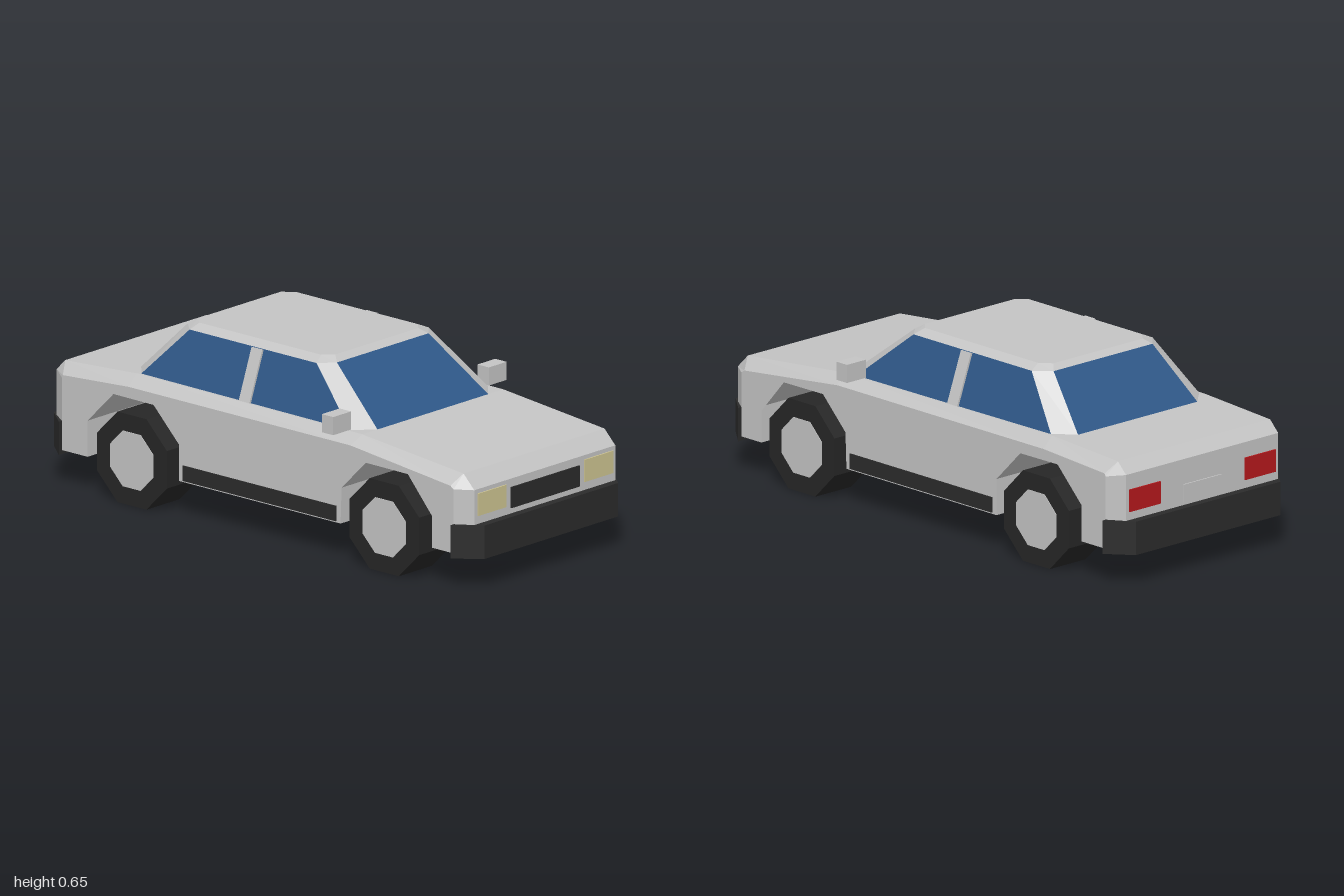
import * as THREE from 'three';

const paint = (name, color) => {
  const m = new THREE.MeshStandardMaterial({ color });
  m.name = name;
  return m;
};

export function createModel() {
  const silver = paint('silver', 0xc4c4c4);
  const glass = paint('blue glass', 0x2e5787);
  const trim = paint('dark trim', 0x2b2b2b);
  const rubber = paint('tyre rubber', 0x262626);
  const lamp = paint('headlight cream', 0xcdc491);
  const red = paint('tail light red', 0xb5181c);

  const car = new THREE.Group();
  car.name = 'car';
  const add = (name, geometry, material, x = 0, y = 0, z = 0) => {
    const mesh = new THREE.Mesh(geometry, material);
    mesh.name = name;
    mesh.position.set(x, y, z);
    car.add(mesh);
    return mesh;
  };
  // Box given by its limits on each axis
  const block = (name, material, x0, x1, y0, y1, z0, z1) =>
    add(name, new THREE.BoxGeometry(x1 - x0, y1 - y0, z1 - z0), material,
      (x0 + x1) / 2, (y0 + y1) / 2, (z0 + z1) / 2);

  // Body: side outline, with x, y of the bevelled outer edge where it differs
  const outline = [
    [-0.97, 0.13, -0.91, 0.13], [-0.97, 0.4, -0.91, 0.39], [-0.93, 0.44, -0.905, 0.4],
    [-0.6, 0.46, -0.6, 0.42], [0.45, 0.455, 0.43, 0.42],
    [0.92, 0.41, 0.895, 0.37], [0.97, 0.36, 0.91, 0.36], [0.97, 0.13, 0.91, 0.13],
    [0.81, 0.13], [0.81, 0.26], [0.69, 0.38], [0.51, 0.38], [0.39, 0.26], [0.385, 0.13],
    [-0.365, 0.13], [-0.365, 0.26], [-0.485, 0.38], [-0.67, 0.38], [-0.79, 0.26], [-0.79, 0.13],
  ];
  const shape = new THREE.Shape(outline.map(([x, y]) => new THREE.Vector2(x, y)));
  const body = new THREE.ExtrudeGeometry(shape, { depth: 3, steps: 3, bevelEnabled: false });
  const key = (x, y) => `${Math.round(x * 1000)},${Math.round(y * 1000)}`;
  const outer = new Map(outline.map(([x, y, ox = x, oy = y]) => [key(x, y), [ox, oy]]));
  const layers = [-0.4, -0.36, 0.36, 0.4];
  const p = body.attributes.position;
  for (let i = 0; i < p.count; i++) {
    const layer = Math.round(p.getZ(i));
    if (layer === 0 || layer === 3) {
      const [x, y] = outer.get(key(p.getX(i), p.getY(i)));
      p.setXY(i, x, y);
    }
    p.setZ(i, layers[layer]);
  }
  body.computeVertexNormals();
  add('body', body, silver);

  // Cabin: three eight-cornered rings; the long lower faces are windows
  const ring = (y, front, frontSide, rearSide, rear, zEnd, zSide) => [
    [front, y, -zEnd], [front, y, zEnd], [frontSide, y, zSide], [rearSide, y, zSide],
    [rear, y, zEnd], [rear, y, -zEnd], [rearSide, y, -zSide], [frontSide, y, -zSide],
  ];
  const rings = [
    ring(0.455, 0.45, 0.385, -0.59, -0.65, 0.283, 0.353),
    ring(0.637, 0.217, 0.17, -0.42, -0.475, 0.234, 0.286),
    ring(0.655, 0.19, 0.155, -0.41, -0.45, 0.212, 0.246),
  ];
  const windows = [];
  const shell = [];
  for (let r = 0; r < 2; r++) {
    for (let i = 0; i < 8; i++) {
      const j = (i + 1) % 8;
      const [a, b, c, d] = [rings[r][i], rings[r + 1][i], rings[r + 1][j], rings[r][j]];
      (r === 0 && i % 2 === 0 ? windows : shell).push(a, b, c, a, c, d);
    }
  }
  for (let i = 1; i < 7; i++) shell.push(rings[2][0], rings[2][i + 1], rings[2][i]);
  const faces = (corners) => {
    const g = new THREE.BufferGeometry();
    g.setAttribute('position', new THREE.Float32BufferAttribute(corners.flat(), 3));
    g.computeVertexNormals();
    return g;
  };
  add('roofAndPillars', faces(shell), silver);
  add('windows', faces(windows), glass);

  // Bumpers: trapezoid plan, tapering to the ends
  const plan = new THREE.Shape([
    new THREE.Vector2(0.91, -0.415), new THREE.Vector2(1, -0.342),
    new THREE.Vector2(1, 0.342), new THREE.Vector2(0.91, 0.415),
  ]);
  const bumper = new THREE.ExtrudeGeometry(plan, { depth: 0.12, bevelEnabled: false });
  bumper.rotateX(-Math.PI / 2);
  add('frontBumper', bumper, trim, 0, 0.115, 0);
  add('rearBumper', bumper, trim, 0, 0.115, 0).rotation.y = Math.PI;

  // Nose and tail details
  block('grille', trim, 0.968, 0.975, 0.255, 0.33, -0.175, 0.175);
  block('rearPlate', silver, -0.975, -0.968, 0.245, 0.31, -0.09, 0.09);

  // Wheels: octagonal tyres with a flat edge on the ground
  const apothem = 0.1625;
  const octagon = (a, width) => {
    const r = a / Math.cos(Math.PI / 8);
    const g = new THREE.CylinderGeometry(r, r, width, 8).toNonIndexed();
    g.rotateY(Math.PI / 8).rotateX(Math.PI / 2);
    g.computeVertexNormals();
    return g;
  };
  const tyre = octagon(apothem, 0.17);
  const hub = octagon(0.1, 0.174);

  for (const s of [1, -1]) {
    const side = s > 0 ? 'Near' : 'Far';
    const mirrored = (name, material, x0, x1, y0, y1, z0, z1) =>
      block(name + side, material, x0, x1, y0, y1, Math.min(s * z0, s * z1), Math.max(s * z0, s * z1));
    mirrored('headlight', lamp, 0.968, 0.975, 0.265, 0.345, 0.2, 0.345);
    mirrored('tailLight', red, -0.975, -0.968, 0.265, 0.345, 0.2, 0.345);
    mirrored('wingMirror', silver, 0.337, 0.39, 0.458, 0.523, 0.352, 0.443);
    mirrored('sill', trim, -0.345, 0.365, 0.135, 0.19, 0.39, 0.404);
    const pillar = add('doorPillar' + side, new THREE.BoxGeometry(0.05, 0.19, 0.014), silver,
      -0.1, 0.546, s * 0.32);
    pillar.rotation.x = -s * 0.352;
    for (const [x, end] of [[0.597, 'front'], [-0.575, 'rear']]) {
      add(end + 'Tyre' + side, tyre, rubber, x, apothem, s * 0.325);
      add(end + 'Hub' + side, hub, silver, x, apothem, s * 0.325);
    }
  }
  return car;
}
